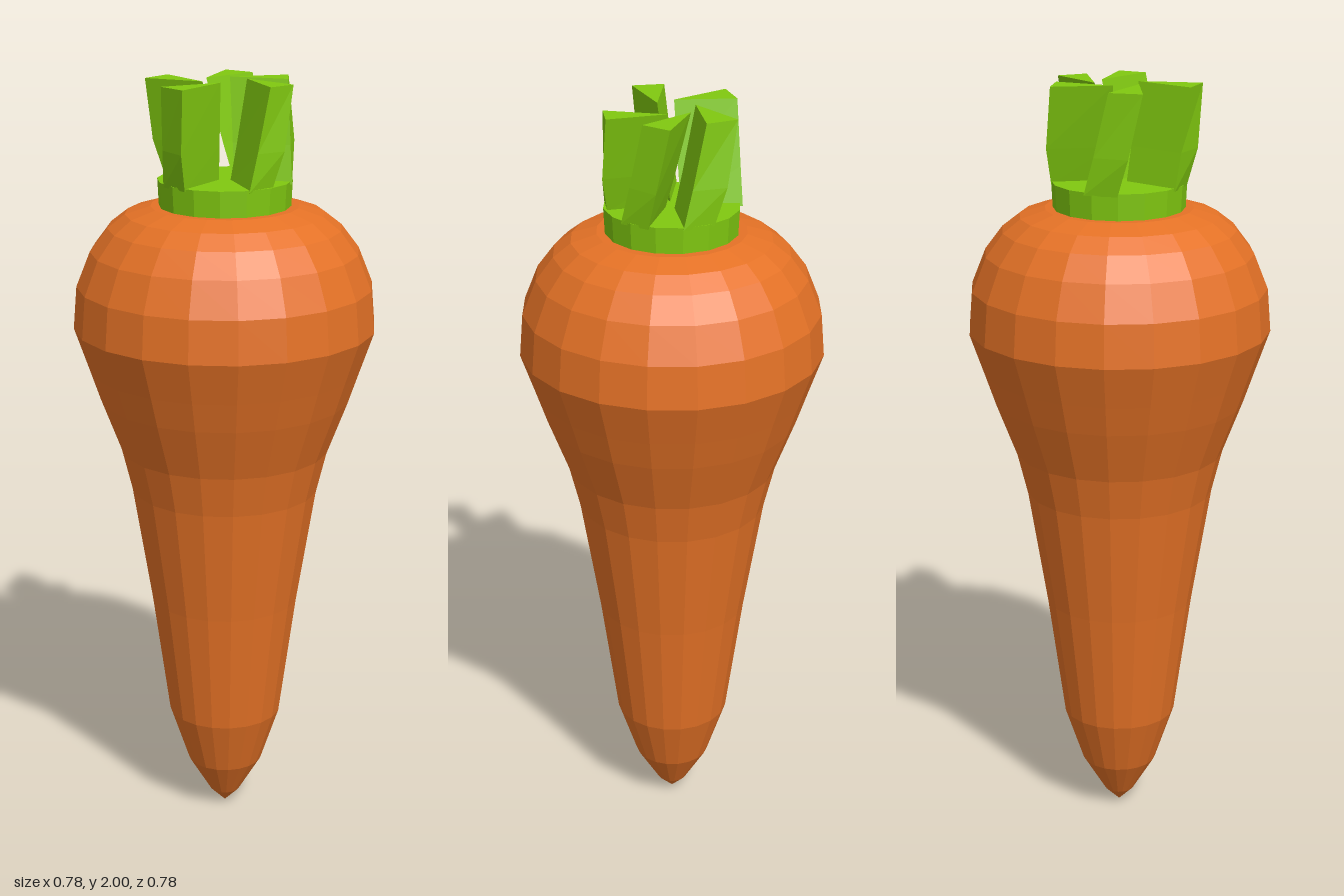
import * as THREE from 'three';

// Three-sided stalk lofted through base, knee and top triangles
function stalkGeometry(rings) {
  const pos = [];
  const push = (...pts) => pts.forEach((p) => pos.push(...p));
  for (let r = 0; r < rings.length - 1; r++) {
    const a = rings[r], b = rings[r + 1];
    for (let j = 0; j < 3; j++) {
      const k = (j + 1) % 3;
      push(a[j], a[k], b[k], a[j], b[k], b[j]);
    }
  }
  push(...rings[rings.length - 1]);
  const geo = new THREE.BufferGeometry();
  geo.setAttribute('position', new THREE.Float32BufferAttribute(pos, 3));
  geo.computeVertexNormals();
  return geo;
}

export function createModel() {
  const group = new THREE.Group();
  const orange = new THREE.MeshStandardMaterial({ name: 'orange', color: 0xe57226, flatShading: true });
  const green = new THREE.MeshStandardMaterial({ name: 'leafGreen', color: 0x80c810, flatShading: true });
  const add = (name, geo, mat) => {
    const mesh = new THREE.Mesh(geo, mat);
    mesh.name = name;
    group.add(mesh);
    return mesh;
  };

  // Root: tapered body with a rounded shoulder
  const profile = [
    [0, 0], [0.04, 0.04], [0.1, 0.14], [0.15, 0.29], [0.195, 0.62], [0.245, 0.93],
    [0.272, 1.04], [0.325, 1.18], [0.352, 1.26], [0.39, 1.37], [0.381, 1.48],
    [0.345, 1.57], [0.3, 1.63], [0.255, 1.665], [0.19, 1.685], [0, 1.685],
  ].map(([x, y]) => new THREE.Vector2(x, y));
  add('root', new THREE.LatheGeometry(profile, 20), orange);

  // Collar that carries the stalks
  add('collar', new THREE.CylinderGeometry(0.172, 0.168, 0.08, 16), green).position.y = 1.712;

  // Stalks, as [x, z]: base inner and outer corner, then top inner and two outer corners
  const stalks = [
    [[-0.02, 0], [-0.168, -0.04], [-0.04, 0.03], [-0.196, -0.012], [-0.196, 0.07]],
    [[0, -0.022], [0.02, -0.175], [-0.06, -0.015], [-0.045, -0.17], [-0.13, -0.156]],
    [[0.03, 0], [0.173, 0], [-0.01, -0.06], [0.145, -0.06], [0.124, -0.14]],
    [[0.015, 0.02], [0.1, 0.142], [0.05, -0.038], [0.13, 0.092], [0.184, 0.034]],
    [[0, 0.02], [-0.06, 0.161], [0.056, 0.02], [0, 0.17], [0.074, 0.172]],
  ];
  stalks.forEach(([bi, bo, ti, t1, t2], n) => {
    // The second outer base corner follows the width of the top
    let b2 = [bo[0] + t2[0] - t1[0], bo[1] + t2[1] - t1[1]];
    const shrink = Math.min(1, 0.172 / Math.hypot(...b2));
    b2 = b2.map((v) => v * shrink);
    const base = [bi, bo, b2], top = [ti, t1, t2];
    const knee = base.map((p, i) => {
      const x = p[0] + (top[i][0] - p[0]) * 0.4, z = p[1] + (top[i][1] - p[1]) * 0.4;
      const s = i === 2 ? 1 + 0.012 / Math.hypot(x, z) : 1;
      return [x * s, z * s];
    });
    const lift = (ring, y) => ring.map(([x, z]) => [x, y, z]);
    add('stalk' + (n + 1), stalkGeometry([lift(base, 1.745), lift(knee, 1.84), lift(top, 2)]), green);
  });

  return group;
}
